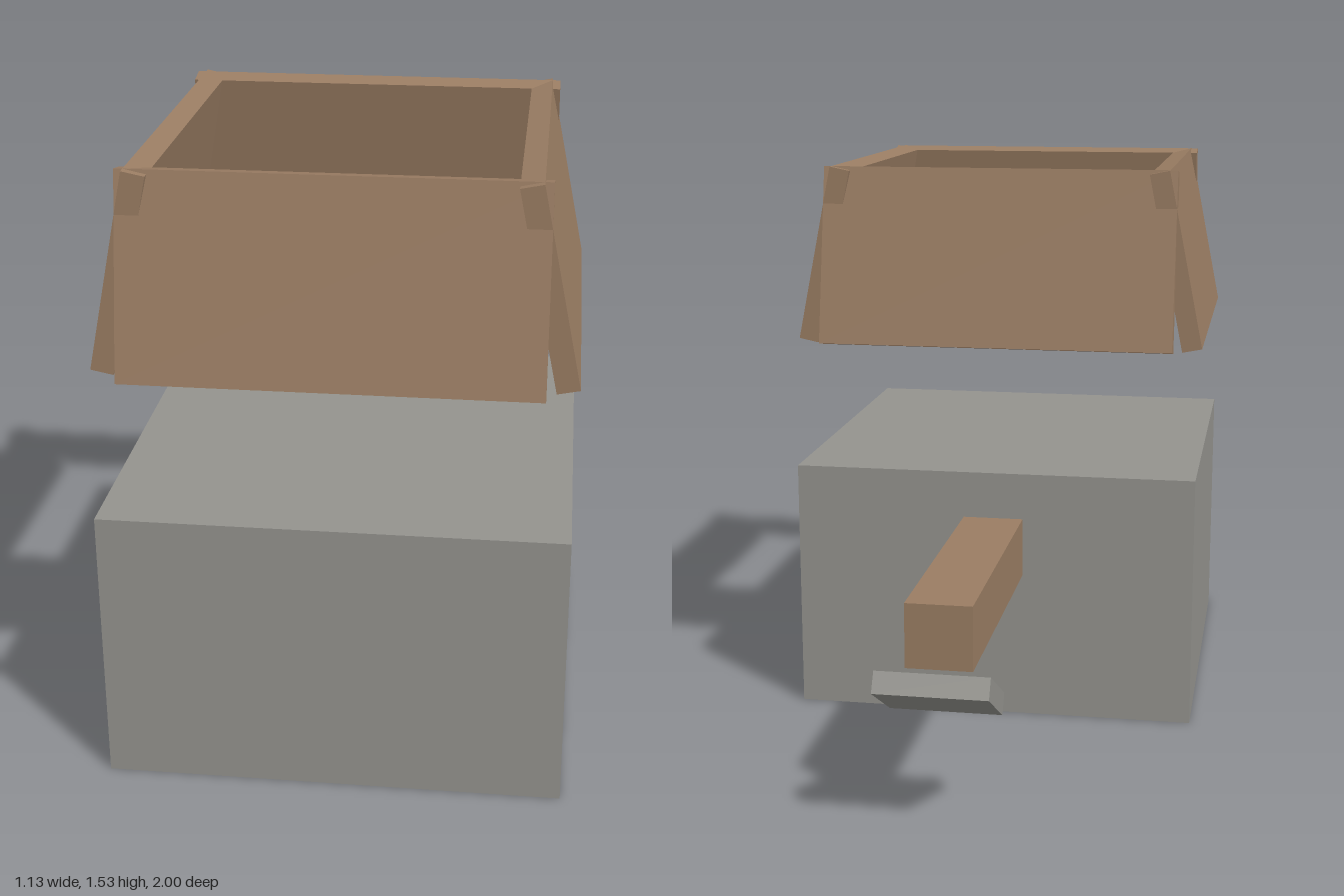
import * as THREE from 'three';

export function createModel() {
  const model = new THREE.Group();
  const wood = new THREE.MeshStandardMaterial({ name: 'brown wood', color: 0x9a7d63 });
  const stone = new THREE.MeshStandardMaterial({ name: 'grey stone', color: 0x94938e });

  function box(name, material, size, position, tilt = 0, parent = model) {
    const mesh = new THREE.Mesh(new THREE.BoxGeometry(...size), material);
    mesh.name = name;
    mesh.position.set(...position);
    mesh.rotation.x = tilt;
    parent.add(mesh);
    return mesh;
  }

  // Main block
  box('body', stone, [1.115, 0.7, 1.115], [0, 0.35, 0.437]);

  // Floating collar of four boards leaning inwards at the top
  const collar = new THREE.Group();
  collar.name = 'collar';
  collar.position.set(0, 1.285, 0.437);
  model.add(collar);
  ['front', 'left', 'back', 'right'].forEach((side, i) => {
    const pivot = new THREE.Group();
    pivot.name = side + 'Side';
    pivot.rotation.y = i * Math.PI / 2;
    box(side + 'Board', wood, [0.973, 0.488, 0.055], [0, 0, 0.4875], -0.2, pivot);
    collar.add(pivot);
  });

  // Beam out of the back, with a tilted plate below its end
  box('beam', wood, [0.166, 0.163, 0.78], [0, 0.49, -0.5]);
  box('tiltedPlate', stone, [0.28, 0.055, 0.222], [0, 0.35, -0.89], Math.PI / 6);

  return model;
}
